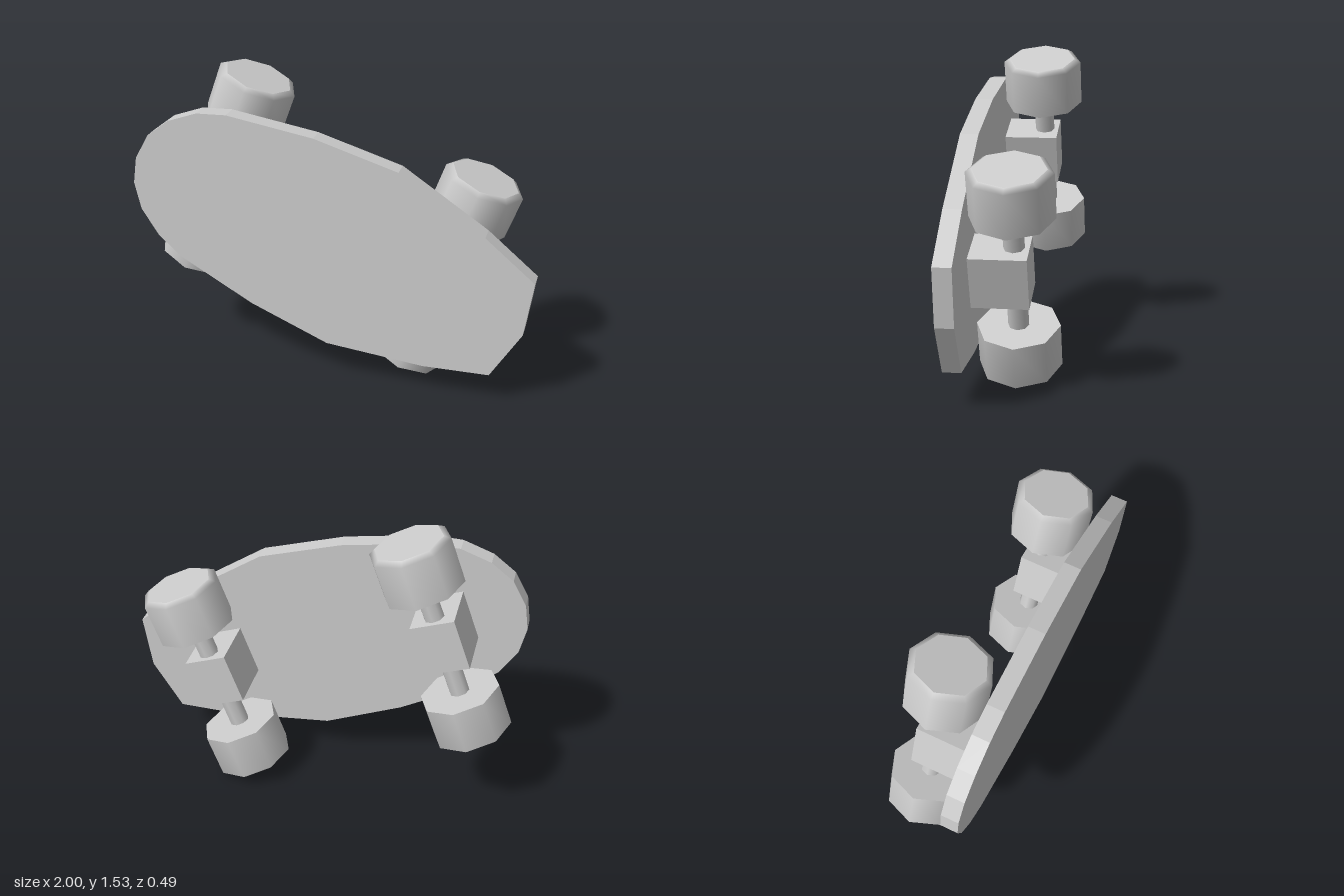
import * as THREE from 'three';

const TILT = THREE.MathUtils.degToRad(-20);
const AXLE_Z = -0.043;

export function createModel() {
  const grey = new THREE.MeshStandardMaterial({ color: 0xcccccc });
  grey.name = 'light grey';

  const model = new THREE.Group();
  model.name = 'skateboard';
  const add = (parent, geometry, name) => {
    const mesh = new THREE.Mesh(geometry, grey);
    mesh.name = name;
    parent.add(mesh);
    return mesh;
  };

  // Deck: flat plate, rounded at one end and blunt at the other
  const outline = [
    [-0.5, 1.37], [-0.65, 1.364], [-0.8, 1.31], [-0.91, 1.225], [-0.98, 1.1], [-1, 0.968],
    [-0.97, 0.83], [-0.885, 0.695], [-0.767, 0.588], [-0.4, 0.38], [-0.01, 0.214],
    [0.48, 0.165], [0.81, 0.17], [0.96, 0.417], [1, 0.695], [0.757, 0.9], [0.34, 1.177], [-0.07, 1.3],
  ].map(([x, y]) => new THREE.Vector2(x, y));
  const deck = new THREE.ExtrudeGeometry(new THREE.Shape(outline), { depth: 0.088, bevelEnabled: false });
  add(model, deck, 'deck').position.z = 0.157;

  // Wheel: eight-sided, smooth wall with a chamfered outer rim and flat ends
  const wall = new THREE.LatheGeometry(
    [[0.2, 0.295], [0.2, 0.52], [0.17, 0.54]].map(([r, y]) => new THREE.Vector2(r, y)), 8);
  const innerFace = new THREE.CircleGeometry(0.2, 8).rotateX(Math.PI / 2).translate(0, 0.295, 0);
  const outerFace = new THREE.CircleGeometry(0.17, 8).rotateX(-Math.PI / 2).translate(0, 0.54, 0);
  const makeWheel = (name, turn) => {
    const wheel = new THREE.Group();
    wheel.name = name;
    add(wheel, wall, 'wheelWall');
    add(wheel, innerFace, 'wheelInnerFace');
    add(wheel, outerFace, 'wheelOuterFace');
    wheel.rotation.z = turn;
    return wheel;
  };

  // Trucks: block fixed to the deck, axle through it, a wheel at each end
  const block = new THREE.BoxGeometry(0.22, 0.266, 0.272);
  const axle = new THREE.CylinderGeometry(0.05, 0.05, 0.62, 8);
  const undercarriage = new THREE.Group();
  undercarriage.name = 'undercarriage';
  undercarriage.rotation.z = TILT;
  model.add(undercarriage);
  for (const [name, x, y] of [['noseTruck', -0.914, 0.7], ['tailTruck', 0.29, 0.71]]) {
    const truck = new THREE.Group();
    truck.name = name;
    truck.position.set(x, y, AXLE_Z);
    add(truck, block, 'truckBlock').position.z = 0.021 - AXLE_Z;
    add(truck, axle, 'axle');
    truck.add(makeWheel('upperWheel', 0), makeWheel('lowerWheel', Math.PI));
    undercarriage.add(truck);
  }
  return model;
}
